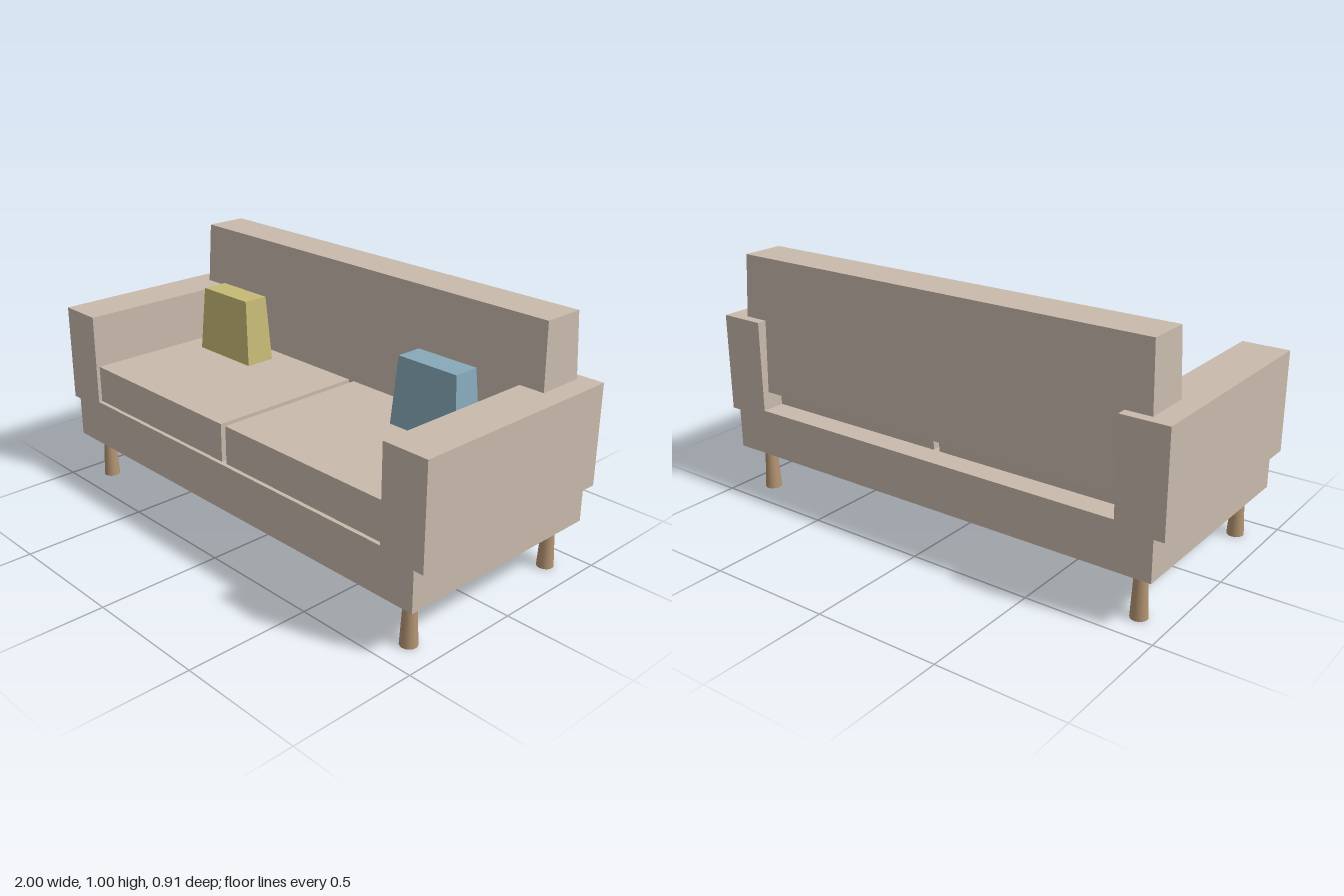
import * as THREE from 'three';

const mat = (name, color) => {
  const m = new THREE.MeshStandardMaterial({ color });
  m.name = name;
  return m;
};

// Box standing on y = 0 whose top is inset on each side
function taperedBox(w, h, d, insetX, insetZ) {
  const g = new THREE.BoxGeometry(w, h, d).translate(0, h / 2, 0);
  const p = g.attributes.position;
  for (let i = 0; i < p.count; i++) {
    if (p.getY(i) > h / 2) {
      p.setX(i, p.getX(i) - Math.sign(p.getX(i)) * insetX);
      p.setZ(i, p.getZ(i) - Math.sign(p.getZ(i)) * insetZ);
    }
  }
  g.computeVertexNormals();
  return g;
}

export function createModel() {
  const sofa = new THREE.Group();
  sofa.name = 'sofa';
  const fabric = mat('beige fabric', 0xc8baac);
  const wood = mat('wood', 0xb39372);
  const blue = mat('blue fabric', 0x87a9bb);
  const yellow = mat('yellow fabric', 0xc6b976);

  const add = (name, geometry, material, x, y, z) => {
    const mesh = new THREE.Mesh(geometry, material);
    mesh.name = name;
    mesh.position.set(x, y, z);
    sofa.add(mesh);
  };

  // Base and both arms share one U-shaped section, run front to back
  const half = [[0.96, 0.19], [0.96, 0.35], [1, 0.35], [1, 0.747], [0.813, 0.747], [0.813, 0.378]];
  const outline = [...half, ...half.map(([x, y]) => [-x, y]).reverse()];
  const section = new THREE.Shape(outline.map(([x, y]) => new THREE.Vector2(x, y)));
  const depth = 0.91;
  add('baseAndArms', new THREE.ExtrudeGeometry(section, { depth, bevelEnabled: false }), fabric, 0, 0, -depth / 2);

  // Backrest, floating slightly above the base
  add('backrest', taperedBox(1.856, 0.55, 0.214, 0.023, 0.021), fabric, 0, 0.45, -0.32);

  // Seat cushions, throw pillows and legs on each side
  const cushion = new THREE.BoxGeometry(0.8, 0.152, 0.8);
  const pillow = taperedBox(0.314, 0.27, 0.128, 0.023, 0.011);
  const leg = new THREE.CylinderGeometry(0.023, 0.033, 0.19, 16);
  for (const side of [1, -1]) {
    const label = side > 0 ? 'left' : 'right';
    add(label + 'SeatCushion', cushion, fabric, side * 0.413, 0.455, 0.04);
    add(label + 'Pillow', pillow, side > 0 ? blue : yellow, side * 0.559, 0.53, -0.081);
    for (const end of [1, -1]) {
      add(label + (end > 0 ? 'Front' : 'Back') + 'Leg', leg, wood, side * 0.88, 0.095, end * 0.375);
    }
  }
  return sofa;
}
